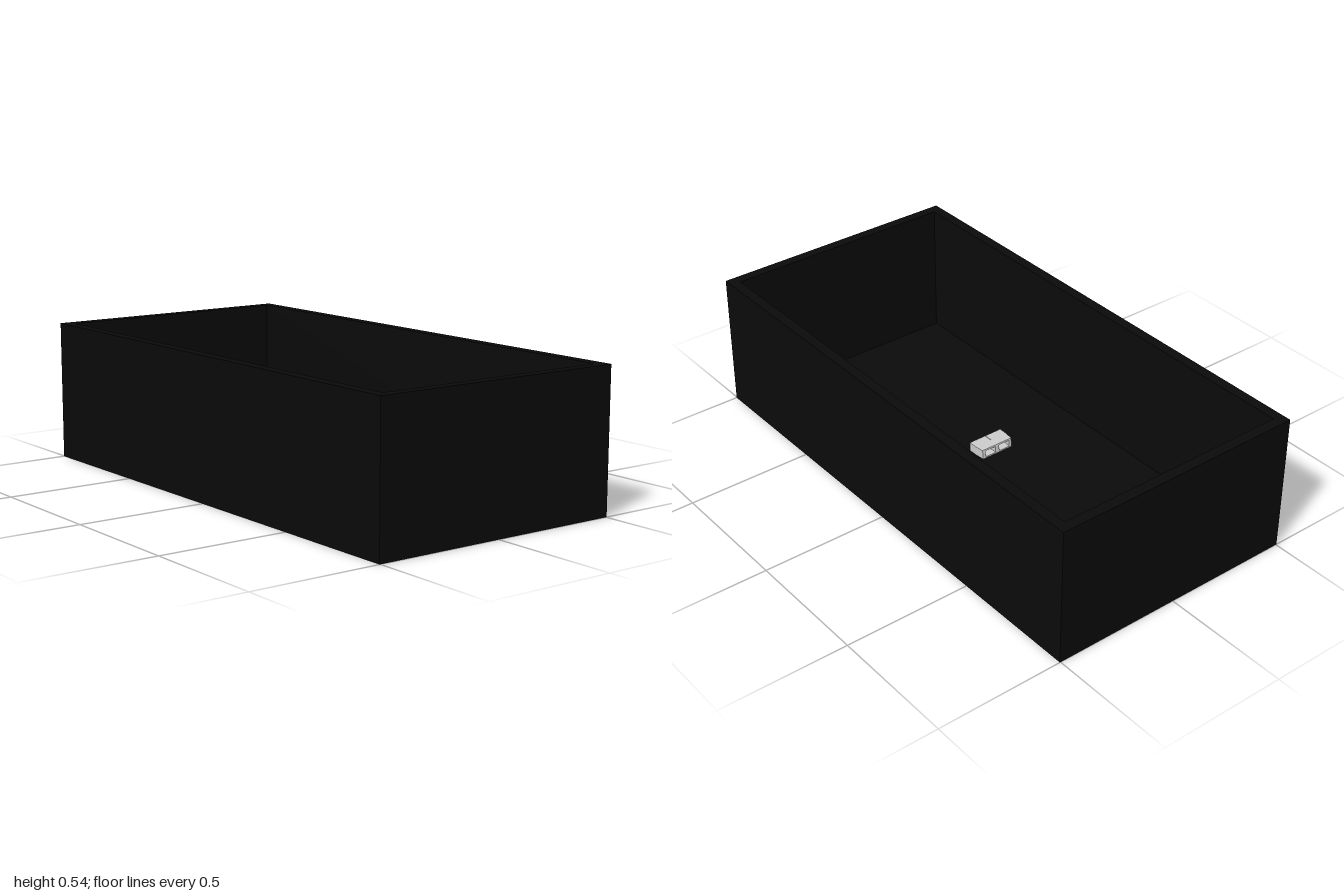
import * as THREE from 'three';

const W = 1.006, H = 0.535, L = 2, T = 0.04, FLOOR = 0.005;

function add(group, name, geometry, material, x = 0, y = 0, z = 0) {
  const mesh = new THREE.Mesh(geometry, material);
  mesh.name = name;
  mesh.position.set(x, y, z);
  group.add(mesh);
  return mesh;
}

// Rectangle path centred on (x, y)
function rect(path, x, y, w, h) {
  path.moveTo(x - w / 2, y - h / 2);
  path.lineTo(x + w / 2, y - h / 2);
  path.lineTo(x + w / 2, y + h / 2);
  path.lineTo(x - w / 2, y + h / 2);
  path.closePath();
  return path;
}

// Narrow the rear and lean its upper edge forward
function taper(geometry, z0) {
  const p = geometry.attributes.position;
  for (let i = 0; i < p.count; i++) {
    const back = Math.max(0, -(p.getZ(i) + z0) / 0.04);
    p.setX(i, p.getX(i) * (1 - 0.06 * back));
    p.setZ(i, p.getZ(i) + 0.25 * back * Math.max(0, p.getY(i)));
  }
  geometry.computeVertexNormals();
  return geometry;
}

export function createModel() {
  const model = new THREE.Group();
  const dark = new THREE.MeshStandardMaterial({ color: 0x0a0a0a });
  const grey = new THREE.MeshStandardMaterial({ color: 0xcccccc, flatShading: true });

  // Open box: one ring of four walls on a thin floor
  const box = new THREE.Group();
  box.name = 'openBox';
  const ring = rect(new THREE.Shape(), 0, 0, W, L);
  ring.holes.push(rect(new THREE.Path(), 0, 0, W - 2 * T, L - 2 * T));
  const walls = new THREE.ExtrudeGeometry(ring, { depth: H, bevelEnabled: false });
  walls.rotateX(-Math.PI / 2);
  add(box, 'walls', walls, dark);
  add(box, 'floor', new THREE.BoxGeometry(W - 2 * T, FLOOR, L - 2 * T), dark, 0, FLOOR / 2, 0);
  model.add(box);

  // Small centre piece hanging above the floor, with two recesses at the rear
  const piece = new THREE.Group();
  piece.name = 'centrePiece';
  piece.position.y = 0.105;
  for (const side of [-1, 1]) {
    add(piece, side > 0 ? 'leftFrontBlock' : 'rightFrontBlock',
      new THREE.BoxGeometry(0.071, 0.036, 0.035), grey, side * 0.0365, 0, 0.0175);
  }
  const frame = rect(new THREE.Shape(), 0, 0, 0.144, 0.036);
  for (const side of [-1, 1]) {
    frame.holes.push(rect(new THREE.Path(), side * 0.034, 0, 0.05, 0.024));
  }
  const rear = new THREE.ExtrudeGeometry(frame, { depth: 0.04, bevelEnabled: false });
  rear.translate(0, 0, -0.04);
  add(piece, 'rearFrame', taper(rear, 0), grey);
  model.add(piece);

  return model;
}
